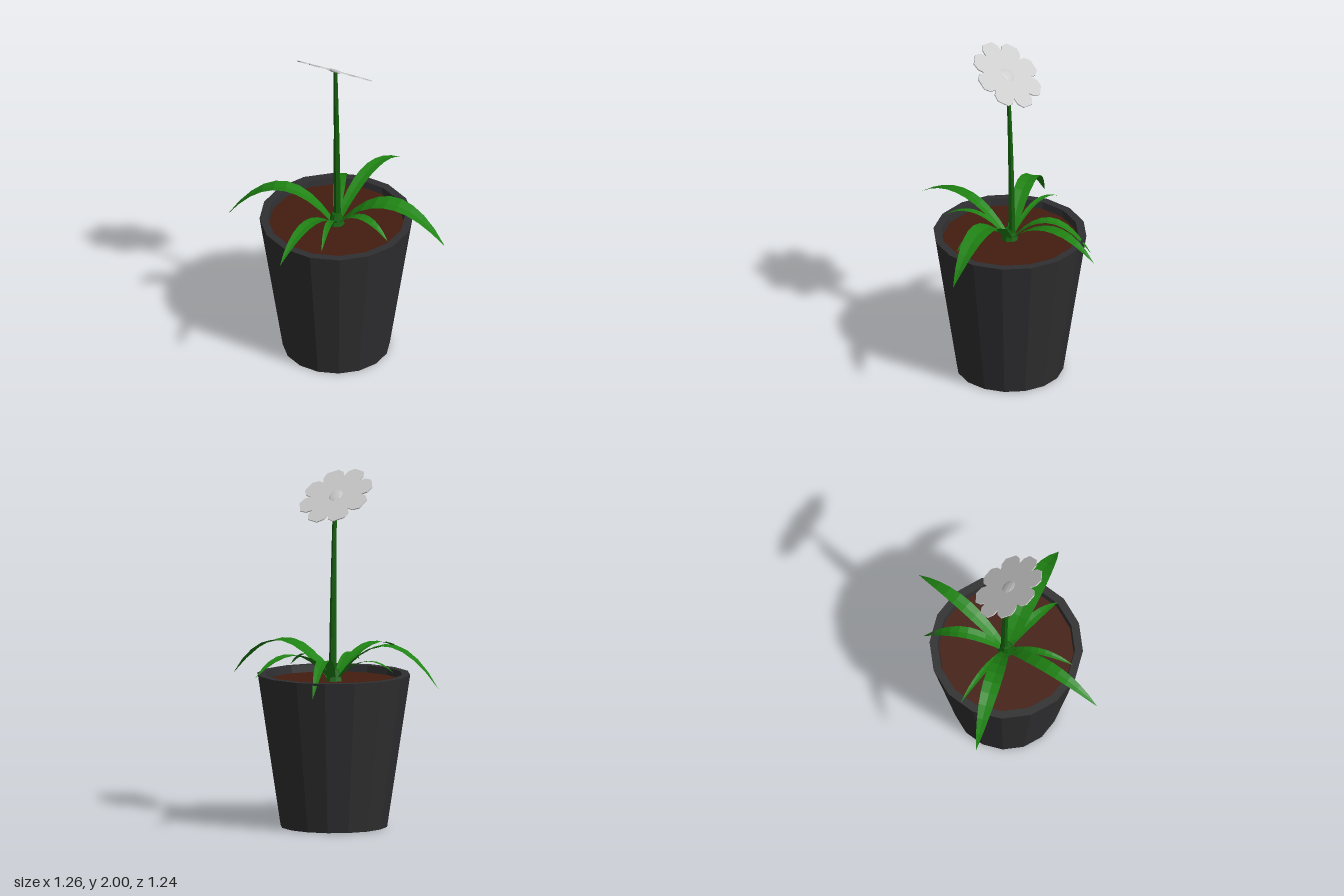
import * as THREE from 'three';

const mat = (color, side = THREE.FrontSide) =>
  new THREE.MeshStandardMaterial({ color, flatShading: true, side });

const POT = mat(0x2f2f31);
const SOIL = mat(0x431d0f);
const STEM = mat(0x14600c);
const LEAF = mat(0x1f8313, THREE.DoubleSide);
const PETAL = mat(0xcccccc);

const CX = -0.02; // plant and pot axis

function part(name, geometry, material, parent) {
  const mesh = new THREE.Mesh(geometry, material);
  mesh.name = name;
  parent.add(mesh);
  return mesh;
}

// Arching strap leaf: three points across (shallow crease), tapering to a tip
function leafGeometry([tx, tz], tipY, peak, width) {
  const dir = new THREE.Vector2(tx - CX, tz).normalize();
  const base = new THREE.Vector3(CX + dir.x * 0.02, 0.83, dir.y * 0.02);
  const tip = new THREE.Vector3(tx, tipY, tz);
  const ctrl = base.clone().lerp(tip, 0.5);
  ctrl.y = 2 * peak - (base.y + tipY) / 2;
  const curve = new THREE.QuadraticBezierCurve3(base, ctrl, tip);
  const n = 9, pos = [], idx = [];
  for (let i = 0; i <= n; i++) {
    const t = i / n, p = curve.getPoint(t);
    const half = 0.5 * width * Math.pow(Math.max(0, Math.sin(Math.PI * (0.12 + 0.88 * t))), 0.8);
    for (const s of [-1, 0, 1]) {
      pos.push(p.x - dir.y * half * s, p.y - (s ? 0 : half * 0.15), p.z + dir.x * half * s);
    }
    if (i < n) for (const c of [0, 1]) {
      const a = i * 3 + c;
      idx.push(a, a + 1, a + 3, a + 1, a + 4, a + 3);
    }
  }
  const g = new THREE.BufferGeometry();
  g.setAttribute('position', new THREE.Float32BufferAttribute(pos, 3));
  g.setIndex(idx);
  g.computeVertexNormals();
  return g;
}

// Eight blunt petals with notches between them
function petalGeometry() {
  const pts = [];
  for (let k = 0; k < 8; k++) {
    for (const [da, r] of [[-22.5, 0.158], [-18, 0.192], [-9, 0.217], [9, 0.217], [18, 0.192]]) {
      const a = THREE.MathUtils.degToRad(26.5 + 45 * k + da);
      pts.push(new THREE.Vector2(Math.cos(a) * r, Math.sin(a) * r));
    }
  }
  const g = new THREE.ExtrudeGeometry(new THREE.Shape(pts), { depth: 0.006, bevelEnabled: false });
  return g.translate(0, 0, -0.003);
}

export function createModel() {
  const model = new THREE.Group();
  model.name = 'pottedFlower';

  // Pot with a thick rim, closed underneath
  const profile = [[0, 0], [0.3, 0], [0.43, 0.86], [0.385, 0.86], [0.375, 0.8]]
    .map(([r, y]) => new THREE.Vector2(r, y));
  part('pot', new THREE.LatheGeometry(profile, 16), POT, model).position.x = CX;

  const soil = part('soil', new THREE.CylinderGeometry(0.378, 0.378, 0.02, 16), SOIL, model);
  soil.position.set(CX, 0.81, 0);

  // Slender stem, tapering and leaning slightly forward
  const stem = new THREE.CylinderGeometry(0.011, 0.022, 1.04, 6, 8);
  const p = stem.attributes.position;
  for (let i = 0; i < p.count; i++) {
    const t = p.getY(i) / 1.04 + 0.5;
    p.setZ(i, p.getZ(i) - 0.012 + 0.027 * t * t);
  }
  part('stem', stem, STEM, model).position.set(CX, 1.34, 0);

  // Crown where the leaves meet the soil
  part('crown', new THREE.CylinderGeometry(0.025, 0.05, 0.07, 8), STEM, model).position.set(CX, 0.85, 0);

  // Leaves: tip (x, z), tip height, peak height, width
  const leaves = new THREE.Group();
  leaves.name = 'leaves';
  model.add(leaves);
  [
    [[0.63, 0.01], 0.82, 1.035, 0.13],
    [[-0.63, 0.11], 0.8, 1.035, 0.1],
    [[0.135, -0.62], 0.9, 1.0, 0.078],
    [[-0.13, 0.62], 0.9, 1.0, 0.075],
    [[-0.14, -0.455], 0.78, 0.965, 0.07],
    [[0.035, 0.39], 0.89, 0.95, 0.04],
    [[-0.45, -0.075], 0.9, 0.95, 0.035],
    [[0.34, 0.145], 0.87, 0.95, 0.06],
  ].forEach((args, i) => part('leaf' + (i + 1), leafGeometry(...args), LEAF, leaves));

  // Tilted flower head
  const flower = new THREE.Group();
  flower.name = 'flower';
  flower.position.set(CX - 0.003, 1.863, 0.018);
  flower.rotation.set(THREE.MathUtils.degToRad(-127), 0, THREE.MathUtils.degToRad(-4), 'ZXY');
  model.add(flower);
  part('petals', petalGeometry(), PETAL, flower);
  const centre = part('flowerCentre', new THREE.SphereGeometry(0.044, 12, 6), PETAL, flower);
  centre.scale.z = 0.22;

  return model;
}
